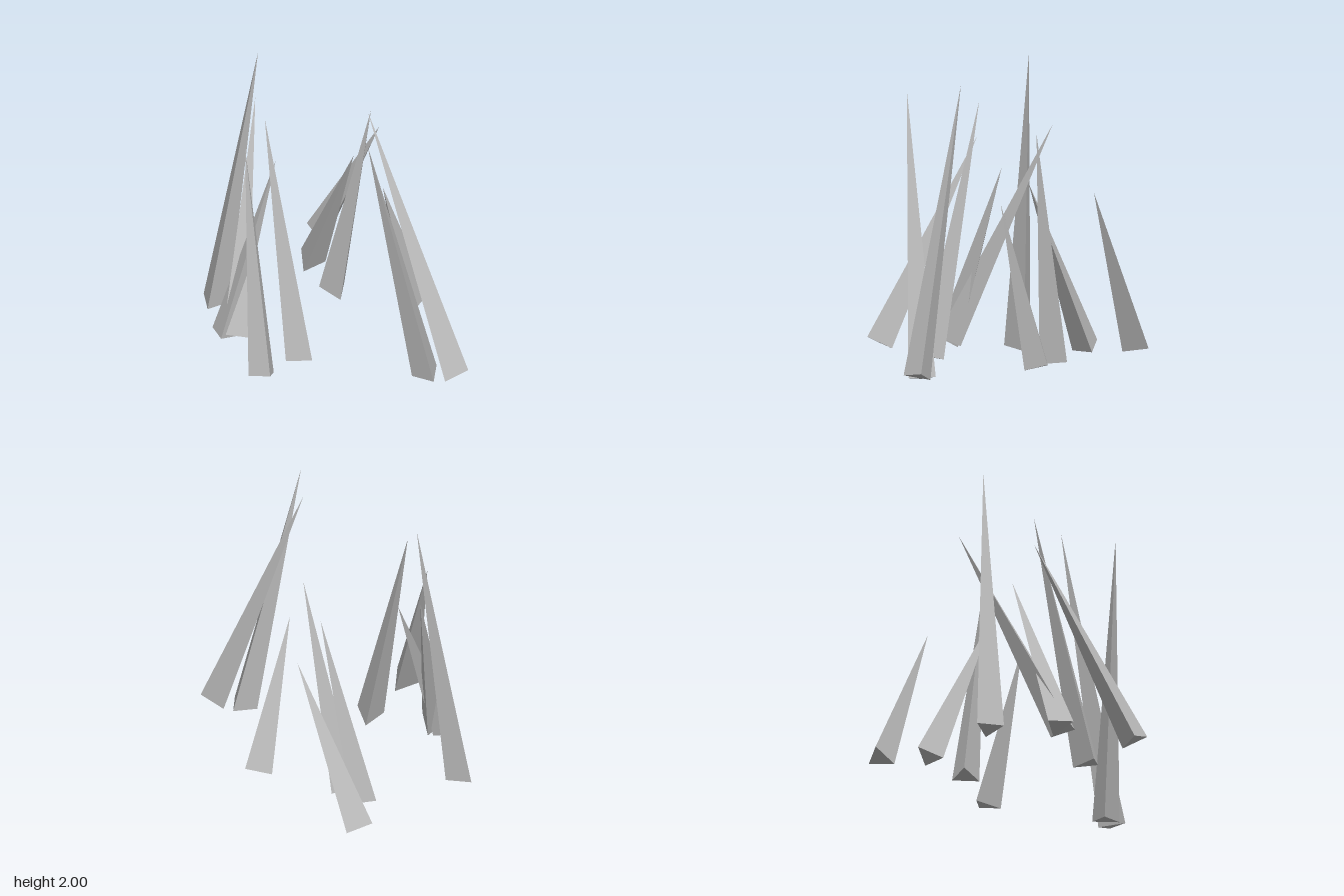
import * as THREE from 'three';

const BASE_RADIUS = 0.104;

// Each spike: tip, centre of its base, and one base corner that sets its twist
const SPIKES = [
  { tip: [-0.35, 2.0, -0.355], base: [-0.637, 0.02, -0.413], corner: [-0.53, 0.0, -0.4] },
  { tip: [0.2, 1.91, 0.37], base: [0.643, 0.07, 0.867], corner: [0.74, 0.1, 0.89] },
  { tip: [0.105, 1.885, 0.715], base: [0.493, 0.035, 0.777], corner: [0.4, 0.015, 0.74] },
  { tip: [-0.325, 1.53, -0.515], base: [-0.611, 0.106, 0.118], corner: [-0.553, 0.06, 0.044] },
  { tip: [-0.29, 1.27, -0.135], base: [-0.69, 0.083, 0.049], corner: [-0.592, 0.05, 0.048] },
  { tip: [-0.395, 1.705, -0.02], base: [-0.263, 0.053, 0.402], corner: [-0.37, 0.045, 0.405] },
  { tip: [-0.517, 1.455, -0.06], base: [-0.572, 0.118, 0.618], corner: [-0.555, 0.165, 0.715] },
  { tip: [0.36, 1.13, 0.155], base: [0.623, 0.08, -0.01], corner: [0.73, 0.11, -0.02] },
  { tip: [0.5, 1.19, -0.45], base: [0.217, 0.113, -0.88], corner: [0.2, 0.075, -0.78] },
  { tip: [0.23, 1.24, -0.1], base: [0.067, 0.1, -0.59], corner: [0.17, 0.081, -0.58] },
  { tip: [0.35, 1.58, -0.105], base: [0.157, 0.04, -0.308], corner: [0.17, 0.024, -0.2] },
];

// Three-sided cone stretched from its base centre to its tip
function makeSpike({ tip, base, corner }, material) {
  const foot = new THREE.Vector3(...base);
  const up = new THREE.Vector3(...tip).sub(foot);
  const height = up.length();
  up.normalize();

  // The first corner of the cone lies along its local +z
  const out = new THREE.Vector3(...corner).sub(foot);
  out.addScaledVector(up, -out.dot(up)).normalize();
  const side = new THREE.Vector3().crossVectors(up, out);

  const geometry = new THREE.ConeGeometry(BASE_RADIUS, height, 3);
  geometry.translate(0, height / 2, 0);
  geometry.applyMatrix4(new THREE.Matrix4().makeBasis(side, up, out).setPosition(foot));
  return new THREE.Mesh(geometry, material);
}

export function createModel() {
  const model = new THREE.Group();
  model.name = 'spikeCluster';

  const grey = new THREE.MeshStandardMaterial({ color: 0xbcbcbc });
  grey.name = 'grey';
  grey.flatShading = true;

  SPIKES.forEach((spec, i) => {
    const spike = makeSpike(spec, grey);
    spike.name = `spike${i + 1}`;
    model.add(spike);
  });
  return model;
}
